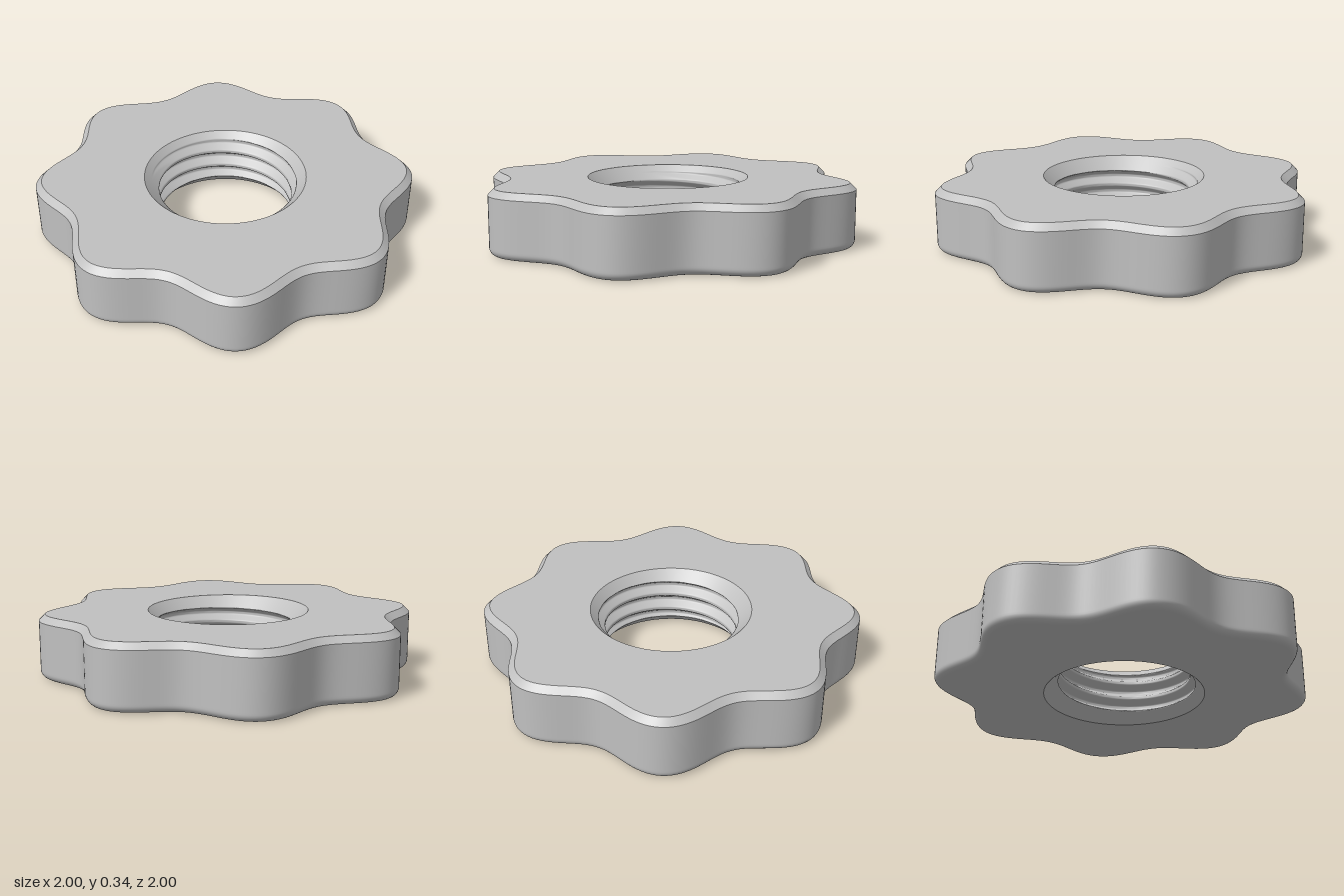
import * as THREE from 'three';

const H = 0.338, LOBES = 8, PHASE = THREE.MathUtils.degToRad(-7.5);
const CHAMFER = 0.033, FILLET = 0.04;             // outer edges
const MOUTH = 0.43, CREST = 0.355, ROOT = 0.395;  // threaded bore radii
const PITCH = 0.092, N = 256;

// Wavy outline at angle t, moved inwards along its normal by `inset`
function outline(t, inset, y) {
  const a = LOBES * (t - PHASE);
  const r = 0.938 + 0.067 * Math.cos(a), dr = -0.067 * LOBES * Math.sin(a);
  const c = Math.cos(t), s = Math.sin(t), len = Math.hypot(r, dr);
  const nx = (dr * s + r * c) / len, nz = (r * s - dr * c) / len;
  return [r * c - nx * inset, y, r * s - nz * inset];
}

const circle = (t, r, y) => [r * Math.cos(t), y, r * Math.sin(t)];

// Bore radius: helical ridges, opened by a countersink at each end
function bore(t, y) {
  const f = (((y / PITCH + t / (2 * Math.PI)) % 1) + 1) % 1;
  const wave = Math.abs(f - 0.5) * 2;
  const ridge = CREST + (ROOT - CREST) * THREE.MathUtils.clamp(wave * 1.6 - 0.3, 0, 1);
  return circle(t, Math.max(ridge, MOUTH - Math.min(y, H - y)), y);
}

// Closed band of quads through a list of loops, each a function of the angle
function band(name, loops, material) {
  const pos = [], index = [];
  loops.forEach((loop, i) => {
    for (let j = 0; j < N; j++) {
      pos.push(...loop(j / N * Math.PI * 2));
      if (i === loops.length - 1) continue;
      const k = (j + 1) % N;
      const a = i * N + j, b = a + N, c = i * N + k, d = c + N;
      index.push(a, b, c, b, d, c);
    }
  });
  const g = new THREE.BufferGeometry();
  g.setAttribute('position', new THREE.Float32BufferAttribute(pos, 3));
  g.setIndex(index);
  g.computeVertexNormals();
  const mesh = new THREE.Mesh(g, material);
  mesh.name = name;
  return mesh;
}

export function createModel() {
  const group = new THREE.Group();
  group.name = 'lobedNut';
  const metal = new THREE.MeshStandardMaterial({ color: 0xc0c0c0 });
  metal.name = 'grey metal';

  // Rounded lower edge running smoothly into the side wall
  const wall = [];
  for (let i = 0; i <= 8; i++) {
    const a = i / 8 * Math.PI / 2;
    wall.push(t => outline(t, FILLET * (1 - Math.sin(a)), FILLET * (1 - Math.cos(a))));
  }
  wall.push(t => outline(t, 0, FILLET + 0.01), t => outline(t, 0, H - CHAMFER));

  // Threaded hole, from the top down
  const thread = [];
  for (let i = 0; i <= 96; i++) thread.push(t => bore(t, H * (1 - i / 96)));

  group.add(
    band('sideWall', wall, metal),
    band('topChamfer', [t => outline(t, 0, H - CHAMFER), t => outline(t, CHAMFER, H)], metal),
    band('topFace', [t => outline(t, CHAMFER, H), t => circle(t, MOUTH, H)], metal),
    band('threadedBore', thread, metal),
    band('bottomFace', [t => circle(t, MOUTH, 0), t => outline(t, FILLET, 0)], metal),
  );
  return group;
}
